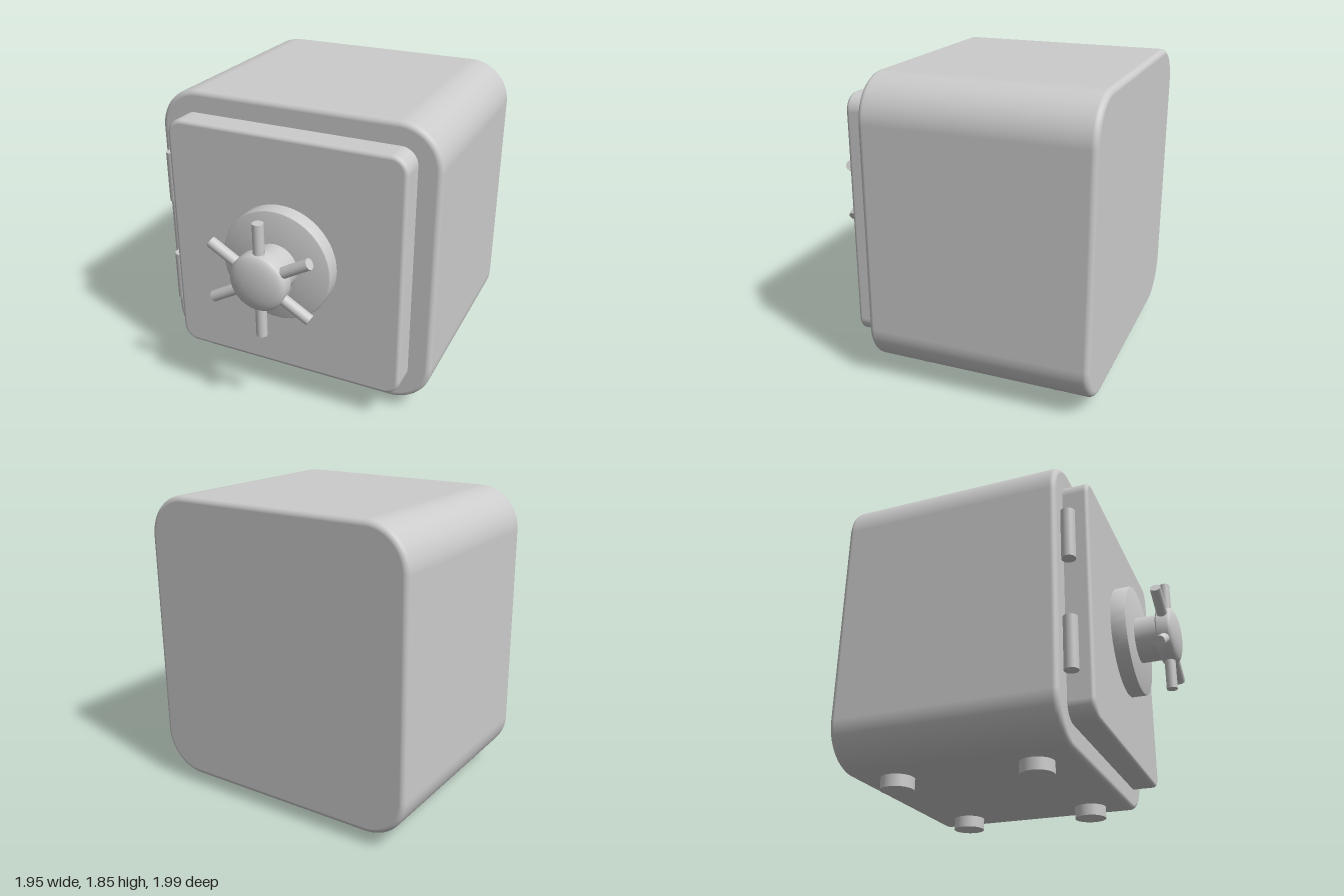
import * as THREE from 'three';
import { toCreasedNormals } from 'three/addons/utils/BufferGeometryUtils.js';

const grey = new THREE.MeshStandardMaterial({ color: 0xcccccc });

function add(parent, name, geometry, x = 0, y = 0, z = 0) {
  const mesh = new THREE.Mesh(geometry, grey);
  mesh.name = name;
  mesh.position.set(x, y, z);
  parent.add(mesh);
  return mesh;
}

// Slab with corners of radius r (seen from the front) and a small rounded rim b
function roundedSlab(w, h, d, r, b) {
  const X = w / 2, Y = h / 2;
  const shape = new THREE.Shape();
  shape.moveTo(X, -Y + r);
  shape.lineTo(X, Y - r);
  shape.absarc(X - r, Y - r, r, 0, Math.PI / 2);
  shape.absarc(-X + r, Y - r, r, Math.PI / 2, Math.PI);
  shape.absarc(-X + r, -Y + r, r, Math.PI, Math.PI * 1.5);
  shape.absarc(X - r, -Y + r, r, Math.PI * 1.5, Math.PI * 2);
  const geo = new THREE.ExtrudeGeometry(shape, {
    depth: d - 2 * b, bevelSize: b, bevelThickness: b, bevelOffset: -b,
    bevelSegments: 5, curveSegments: 16,
  });
  geo.translate(0, 0, b - d / 2);
  // Smooth normals: flat on the faces, turning over the rim and corners
  const p = geo.attributes.position, n = geo.attributes.normal;
  const v = new THREE.Vector3();
  for (let i = 0; i < p.count; i++) {
    const x = p.getX(i), y = p.getY(i), z = p.getZ(i);
    const dx = x - THREE.MathUtils.clamp(x, r - X, X - r);
    const dy = y - THREE.MathUtils.clamp(y, r - Y, Y - r);
    const len = Math.hypot(dx, dy) || 1;
    const out = Math.max(len - (r - b), 0);
    const rim = Math.sign(z) * Math.max(Math.abs(z) - (d / 2 - b), 0);
    v.set(dx / len * out, dy / len * out, rim).normalize();
    n.setXYZ(i, v.x, v.y, v.z);
  }
  return geo;
}

// Turned part whose axis points to the front; profile is [radius, z]
function turned(profile, segments = 48) {
  const pts = profile.map(([r, z]) => new THREE.Vector2(r, z));
  const geo = new THREE.LatheGeometry(pts, segments).rotateX(Math.PI / 2);
  return toCreasedNormals(geo, 0.6);
}

export function createModel() {
  const model = new THREE.Group();
  model.name = 'safe';
  const safe = new THREE.Group();
  safe.name = 'turnedSafe';
  safe.position.z = -0.185;
  safe.rotation.y = 0.16;
  model.add(safe);

  const midY = 0.96;
  add(safe, 'body', roundedSlab(1.762, 1.775, 1.368, 0.26, 0.035), 0, midY, 0);
  add(safe, 'door', roundedSlab(1.484, 1.505, 0.2, 0.1, 0.025), 0, midY, 0.738);

  // Hinges on the door's outer edge
  for (const y of [0.613, 1.3]) {
    add(safe, 'hinge', new THREE.CylinderGeometry(0.042, 0.042, 0.318, 32), -0.79, y, 0.728);
  }

  // Feet
  for (const x of [-0.504, 0.504]) {
    for (const z of [-0.43, 0.43]) {
      add(safe, 'foot', new THREE.CylinderGeometry(0.1, 0.1, 0.12, 32), x, 0.06, z);
    }
  }

  // Dial plate, shaft and domed hub
  add(safe, 'dialPlate', turned([
    [0, 0.82], [0.344, 0.82], [0.344, 0.921], [0.341, 0.928], [0.334, 0.931], [0, 0.931],
  ], 64), 0, midY, 0);
  add(safe, 'shaft', turned([[0, 0.92], [0.142, 0.92], [0.142, 1.09], [0, 1.09]]), 0, midY, 0);
  const hub = [[0, 1.065], [0.165, 1.065], [0.173, 1.073], [0.173, 1.138]];
  for (let i = 1; i <= 8; i++) {
    const a = i / 8 * Math.PI / 2;
    hub.push([i === 8 ? 0 : 0.173 * Math.cos(a), 1.138 + 0.05 * Math.sin(a)]);
  }
  add(safe, 'hub', turned(hub), 0, midY, 0);

  // Six spokes of the hand wheel
  const wheel = new THREE.Group();
  wheel.name = 'handWheel';
  wheel.position.set(0, midY, 1.11);
  safe.add(wheel);
  for (let i = 0; i < 6; i++) {
    const geo = new THREE.CylinderGeometry(0.033, 0.033, 0.255, 24).translate(0, 0.227, 0);
    add(wheel, 'spoke', geo).rotation.z = i * Math.PI / 3;
  }
  return model;
}
